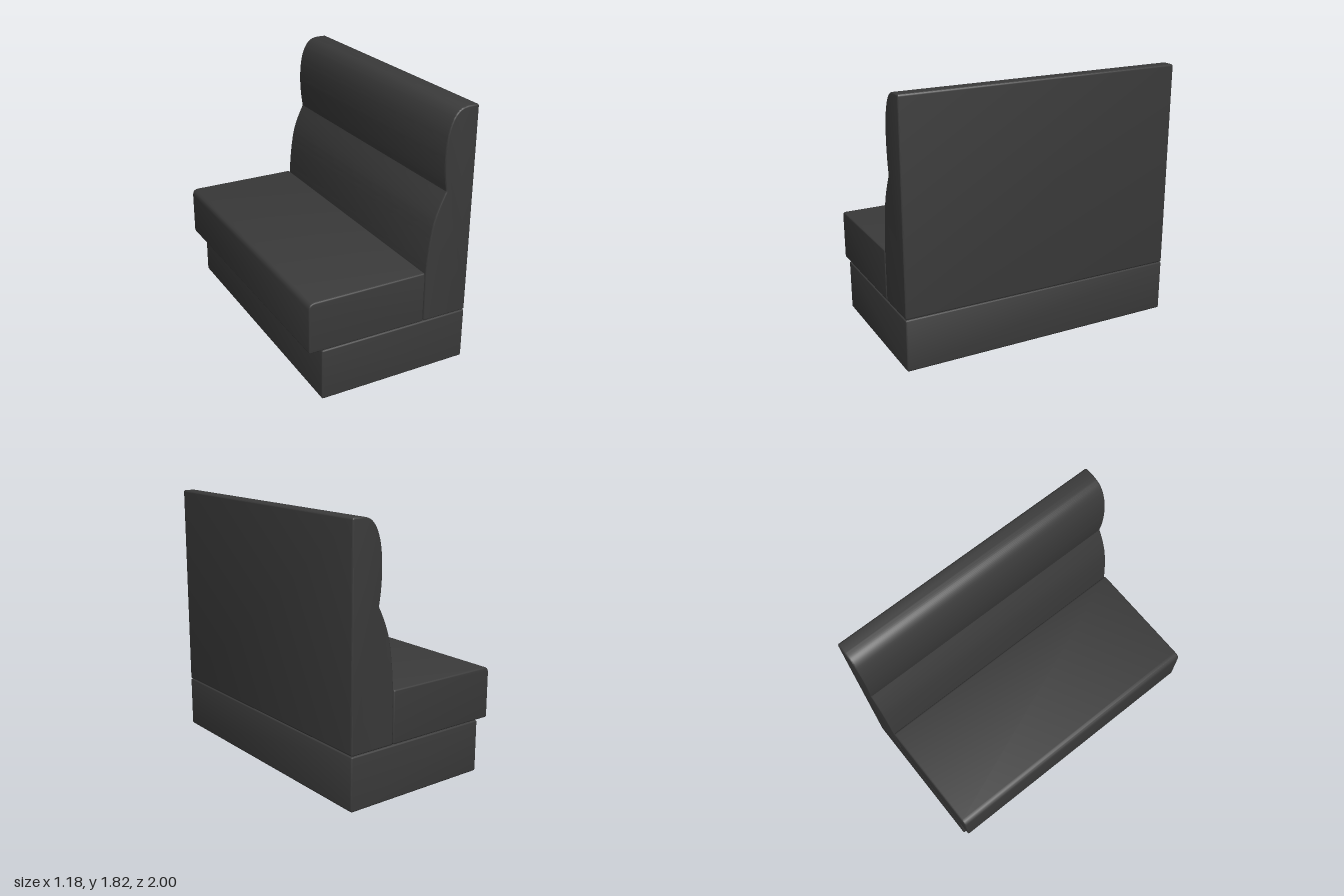
import * as THREE from 'three';
import { toCreasedNormals } from 'three/addons/utils/BufferGeometryUtils.js';

const LENGTH = 2, BEVEL = 0.01, R = 0.014;

// Straight-sided outline from [x, y, cornerRadius], counter-clockwise
function roundedOutline(corners) {
  const shape = new THREE.Shape();
  const n = corners.length;
  corners.forEach(([x, y, r], i) => {
    const p = new THREE.Vector2(x, y);
    const toward = ([qx, qy]) => new THREE.Vector2(qx, qy).sub(p).setLength(r).add(p);
    const a = toward(corners[(i + n - 1) % n]);
    const b = toward(corners[(i + 1) % n]);
    if (i === 0) shape.moveTo(a.x, a.y);
    else shape.lineTo(a.x, a.y);
    shape.quadraticCurveTo(x, y, b.x, b.y);
  });
  shape.closePath();
  return shape;
}

// Profile run along the bench, with softly rounded ends
function cushion(name, shape, material) {
  const geometry = new THREE.ExtrudeGeometry(shape, {
    depth: LENGTH - 2 * BEVEL, curveSegments: 4,
    bevelSize: BEVEL, bevelThickness: BEVEL, bevelOffset: -BEVEL, bevelSegments: 3,
  });
  geometry.translate(0, 0, BEVEL - LENGTH / 2);
  const mesh = new THREE.Mesh(toCreasedNormals(geometry, 0.6), material);
  mesh.name = name;
  return mesh;
}

// Backrest outline: flat rear, lower bulge and headroll meeting in a crease
function backrestOutline() {
  const points = (list) => list.map(([x, y]) => new THREE.Vector2(x, y));
  const left = 0.257, right = 0.588, bottom = 0.368, top = 1.82;
  const shape = new THREE.Shape();
  shape.moveTo(left + R, bottom);
  shape.lineTo(right - R, bottom);
  shape.quadraticCurveTo(right, bottom, right, bottom + R);
  shape.lineTo(right, top - R);
  shape.quadraticCurveTo(right, top, right - R, top);
  shape.lineTo(0.51, top);
  shape.splineThru(points([[0.465, 1.81], [0.43, 1.785], [0.40, 1.74], [0.376, 1.67],
    [0.363, 1.58], [0.36, 1.48], [0.367, 1.37], [0.381, 1.275]]));
  shape.splineThru(points([[0.338, 1.185], [0.302, 1.085], [0.28, 0.97], [0.265, 0.84], [left, 0.72]]));
  shape.lineTo(left, bottom + R);
  shape.quadraticCurveTo(left, bottom, left + R, bottom);
  return shape;
}

export function createModel() {
  const group = new THREE.Group();
  group.name = 'boothBench';
  const upholstery = new THREE.MeshStandardMaterial({ color: 0x3a3a3a });

  const base = roundedOutline([[-0.5, 0, R], [0.588, 0, R], [0.588, 0.365, R], [-0.5, 0.365, R]]);
  // Seat has a larger rounding on its upper front edge
  const seat = roundedOutline([[-0.592, 0.368, R], [0.254, 0.368, R], [0.254, 0.727, R], [-0.592, 0.727, 0.045]]);

  group.add(
    cushion('base', base, upholstery),
    cushion('seat', seat, upholstery),
    cushion('backrest', backrestOutline(), upholstery),
  );
  return group;
}
